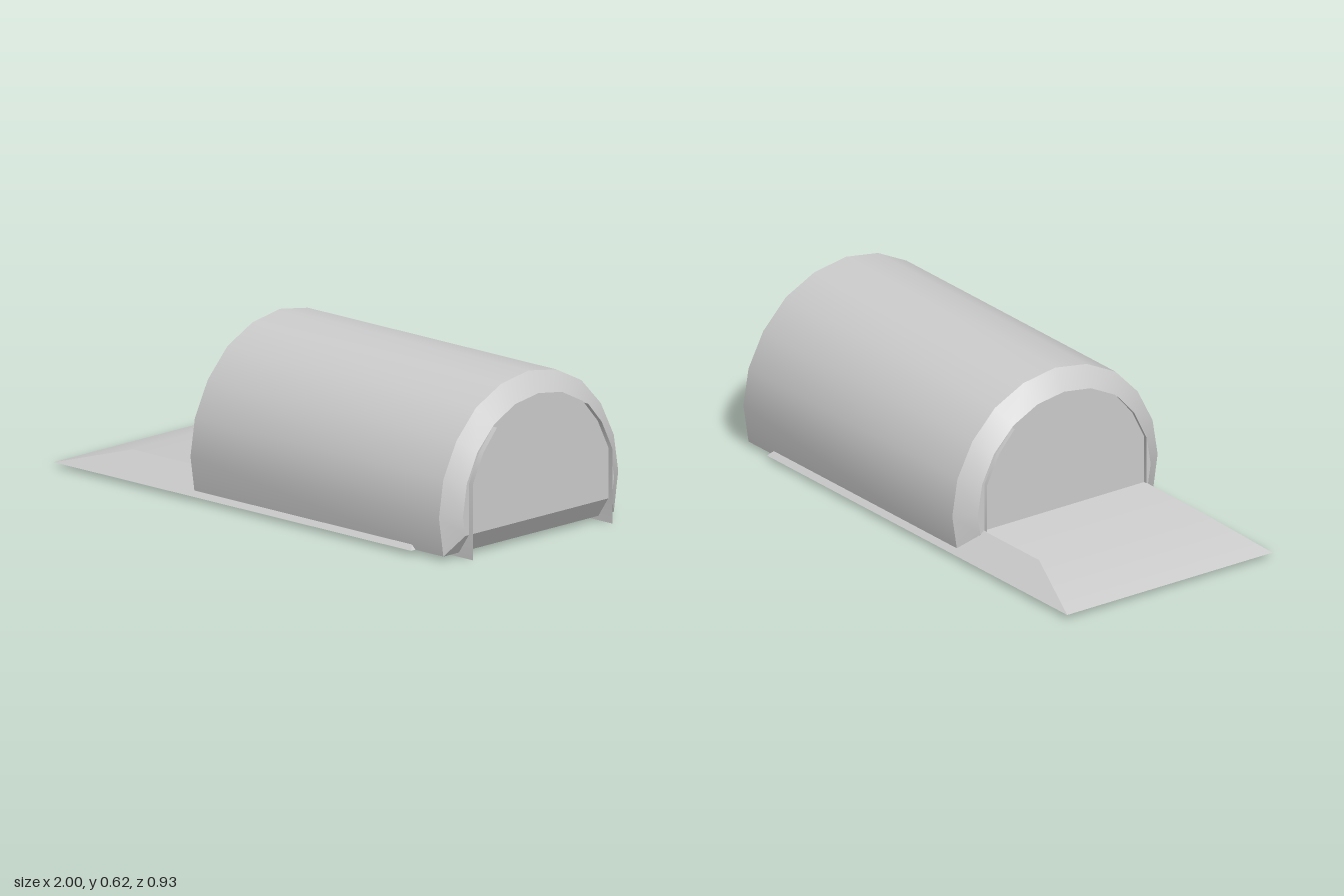
import * as THREE from 'three';
import { toCreasedNormals } from 'three/addons/utils/BufferGeometryUtils.js';

const material = new THREE.MeshStandardMaterial({ color: 0xcccccc });
const sheetMaterial = new THREE.MeshStandardMaterial({ color: 0xcccccc, side: THREE.DoubleSide });

// Skins a row of rings (each counter-clockwise seen from the last one); caps convex ends.
function loft(rings, capped = true) {
  const n = rings[0].length;
  const index = [];
  for (let r = 0; r < rings.length - 1; r++) {
    for (let i = 0; i < (capped ? n : n - 1); i++) {
      const j = (i + 1) % n;
      const a = r * n + i, b = r * n + j, c = b + n, d = a + n;
      index.push(a, b, c, a, c, d);
    }
  }
  if (capped) {
    const last = (rings.length - 1) * n;
    for (let i = 1; i < n - 1; i++) {
      index.push(0, i + 1, i, last, last + i, last + i + 1);
    }
  }
  const geometry = new THREE.BufferGeometry();
  geometry.setAttribute('position', new THREE.Float32BufferAttribute(rings.flat(2), 3));
  geometry.setIndex(index);
  return toCreasedNormals(geometry, 0.5);
}

// Full arch from its left half, given as [z, y] from the foot to the crown
function arch(half, x) {
  const right = half.map(([z, y]) => [x, y, -z]);
  const left = half.slice(0, -1).reverse().map(([z, y]) => [x, y, z]);
  return [...right, ...left];
}

function part(group, name, geometry, mat = material) {
  const mesh = new THREE.Mesh(geometry, mat);
  mesh.name = name;
  group.add(mesh);
  return mesh;
}

export function createModel() {
  const group = new THREE.Group();
  group.name = 'archedShelter';

  // Arched barrel with chamfered ends
  const outer = [[0.44, 0.016], [0.463, 0.163], [0.44, 0.303], [0.373, 0.433],
    [0.272, 0.538], [0.143, 0.602], [0, 0.625]];
  const inner = [[0.378, 0.09], [0.39, 0.163], [0.37, 0.283], [0.315, 0.39],
    [0.228, 0.478], [0.12, 0.532], [0, 0.55]];
  part(group, 'archedBody', loft([
    arch(inner, -0.37), arch(outer, -0.315), arch(outer, 0.93), arch(inner, 0.98),
  ]));

  // Low ramp with sloping sides, running under the body
  const rectangle = (x0, x1, z, y) => [[x0, y, z], [x1, y, z], [x1, y, -z], [x0, y, -z]];
  part(group, 'entryRamp', loft([
    rectangle(-1, 0.79, 0.463, 0.016), rectangle(-0.7, 0.72, 0.363, 0.1),
  ]));

  // Thin curved sheets running through the body and showing at both ends
  const sheet = [[0.36, 0], [0.36, 0.28], [0.305, 0.39], [0.235, 0.47]];
  for (const side of [1, -1]) {
    const ring = (x) => sheet.map(([z, y]) => [x, y, side * z]);
    part(group, side > 0 ? 'frontDoorRail' : 'backDoorRail',
      loft([ring(-0.385), ring(1)], false), sheetMaterial);
  }
  return group;
}
